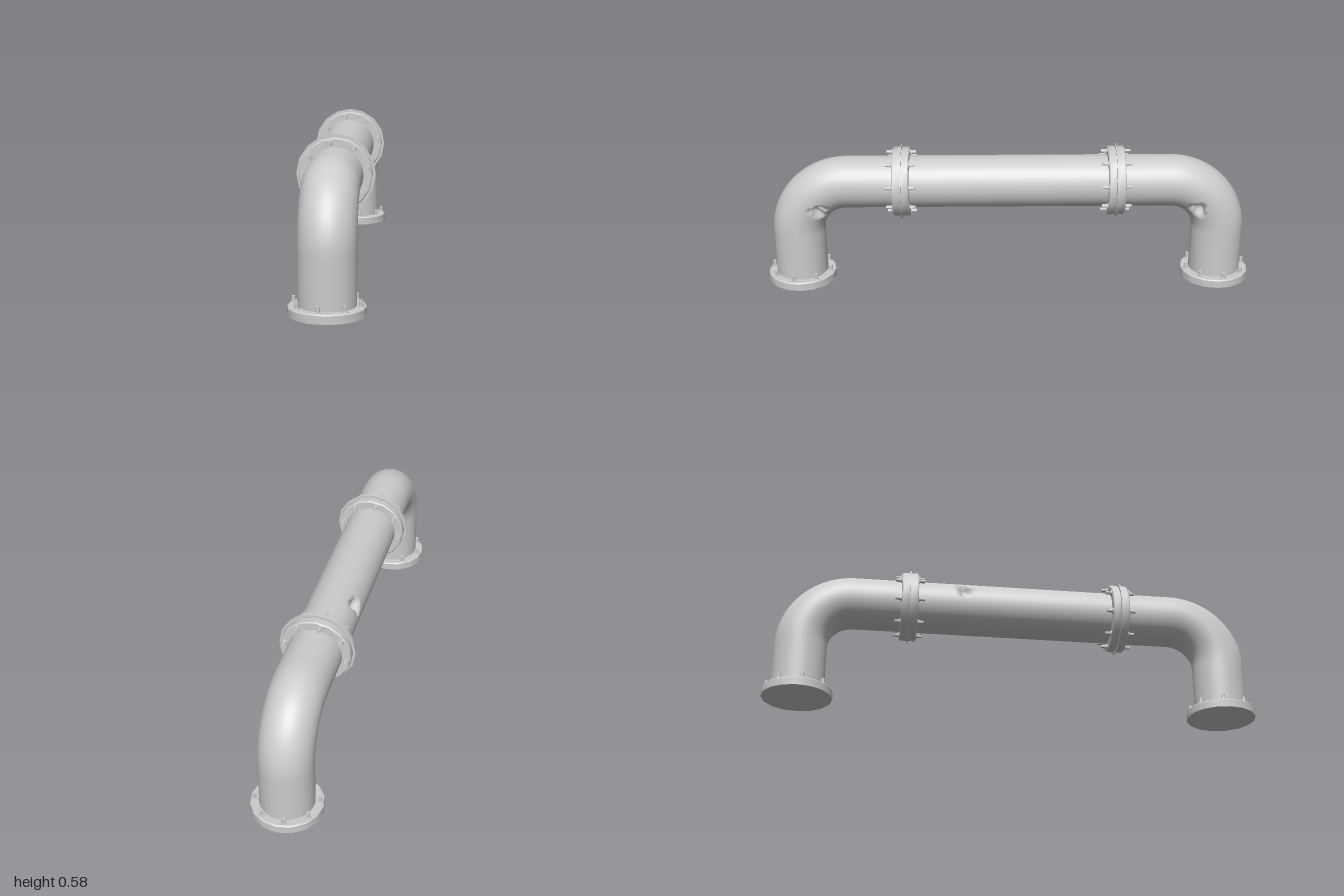
import * as THREE from 'three';
import { mergeVertices, toCreasedNormals } from 'three/addons/utils/BufferGeometryUtils.js';

const PIPE_R = 0.105, AXIS_Y = 0.428, BASE_Z = 0.86, JOINT_Z = 0.433, BEND_R = 0.205;
const FLANGE_R = 0.14, FLANGE_T = 0.034;
const grey = new THREE.MeshStandardMaterial({ color: 0xcccccc, side: THREE.DoubleSide });

function part(name, geometry, parent) {
  const mesh = new THREE.Mesh(geometry, grey);
  mesh.name = name;
  parent.add(mesh);
  return mesh;
}

// Centre line of an elbow: straight up, quarter bend, straight to the joint
class ElbowPath extends THREE.Curve {
  constructor(side) {
    super();
    this.side = side;
  }
  getPoint(t, target = new THREE.Vector3()) {
    const rise = AXIS_Y - BEND_R, bend = BEND_R * Math.PI / 2, run = BASE_Z - BEND_R - JOINT_Z;
    const d = t * (rise + bend + run);
    if (d < rise) return target.set(0, d, this.side * BASE_Z);
    if (d > rise + bend) return target.set(0, AXIS_Y, this.side * (BASE_Z - BEND_R - (d - rise - bend)));
    const a = (d - rise) / BEND_R;
    return target.set(0, rise + BEND_R * Math.sin(a),
      this.side * (BASE_Z - BEND_R + BEND_R * Math.cos(a)));
  }
}

// Pipe wall with one small ragged dent pushed in around a point
function dentedPipe(path, steps, dent, inward) {
  let geo = new THREE.TubeGeometry(path, steps, PIPE_R, 56, false);
  geo.deleteAttribute('uv');
  geo.deleteAttribute('normal');
  geo = mergeVertices(geo, 1e-5);
  const pos = geo.attributes.position, v = new THREE.Vector3();
  for (let i = 0; i < pos.count; i++) {
    v.fromBufferAttribute(pos, i);
    const dy = v.y - dent.y, dz = v.z - dent.z;
    const angle = Math.atan2(dy, dz);
    const reach = 0.034 + 0.007 * Math.sin(3 * angle + 1) + 0.005 * Math.sin(5 * angle);
    const k = 1 - v.distanceTo(dent) / reach;
    if (k > 0) v.addScaledVector(inward, 0.028 * Math.min(1, k * 2));
    pos.setXYZ(i, v.x, v.y, v.z);
  }
  geo.computeVertexNormals();
  return geo;
}

// Bolted flange along +y, its mating face at y = 0
function flange(name) {
  const group = new THREE.Group();
  group.name = name;
  const b = 0.004;
  const profile = [[0, 0], [FLANGE_R, 0], [FLANGE_R, FLANGE_T - b], [FLANGE_R - b, FLANGE_T], [0.09, FLANGE_T]]
    .map(([x, y]) => new THREE.Vector2(x, y));
  part('flangePlate', toCreasedNormals(new THREE.LatheGeometry(profile, 16), 0.6), group);

  // Eight bolts on washers
  const washer = new THREE.CylinderGeometry(0.011, 0.012, 0.004, 10);
  const stud = toCreasedNormals(new THREE.CylinderGeometry(0.007, 0.0075, 0.026, 8), 0.9);
  for (let i = 0; i < 8; i++) {
    const a = THREE.MathUtils.degToRad(10.5 + 45 * i);
    const x = 0.122 * Math.cos(a), z = -0.122 * Math.sin(a);
    part('washer', washer, group).position.set(x, FLANGE_T + 0.002, z);
    part('bolt', stud, group).position.set(x, FLANGE_T + 0.012, z);
  }
  return group;
}

export function createModel() {
  const model = new THREE.Group();
  model.name = 'pipeline';

  // Straight middle section
  const line = new THREE.LineCurve3(new THREE.Vector3(0, AXIS_Y, -JOINT_Z), new THREE.Vector3(0, AXIS_Y, JOINT_Z));
  part('middlePipe', dentedPipe(line, 80, new THREE.Vector3(-0.092, 0.478, -0.21),
    new THREE.Vector3(0.88, -0.47, 0)), model);

  for (const side of [1, -1]) {
    const end = side > 0 ? 'front' : 'back';

    // Elbow, dented on the inside of its bend
    part(end + 'Elbow', dentedPipe(new ElbowPath(side), 68, new THREE.Vector3(0.082, 0.335, side * 0.768),
      new THREE.Vector3(-0.8, 0.42, side * 0.42)), model);

    // Flange on the ground
    const base = flange(end + 'BaseFlange');
    base.position.z = side * BASE_Z;
    if (side > 0) {
      // Bolt pattern mirrored front to back
      base.children.forEach((child) => { child.position.z *= -1; });
    }
    model.add(base);

    // Two flanges back to back with a gasket between them
    for (const facing of [1, -1]) {
      const joint = flange(end + 'JointFlange');
      joint.position.set(0, AXIS_Y, side * JOINT_Z);
      joint.rotation.x = facing * Math.PI / 2;
      if (facing < 0) joint.children.forEach((child) => { child.position.z *= -1; });
      model.add(joint);
    }
    const gasket = part(end + 'Gasket',
      toCreasedNormals(new THREE.CylinderGeometry(0.15, 0.15, 0.005, 16), 0.6), model);
    gasket.rotation.x = Math.PI / 2;
    gasket.position.set(0, AXIS_Y, side * JOINT_Z);
  }
  return model;
}
